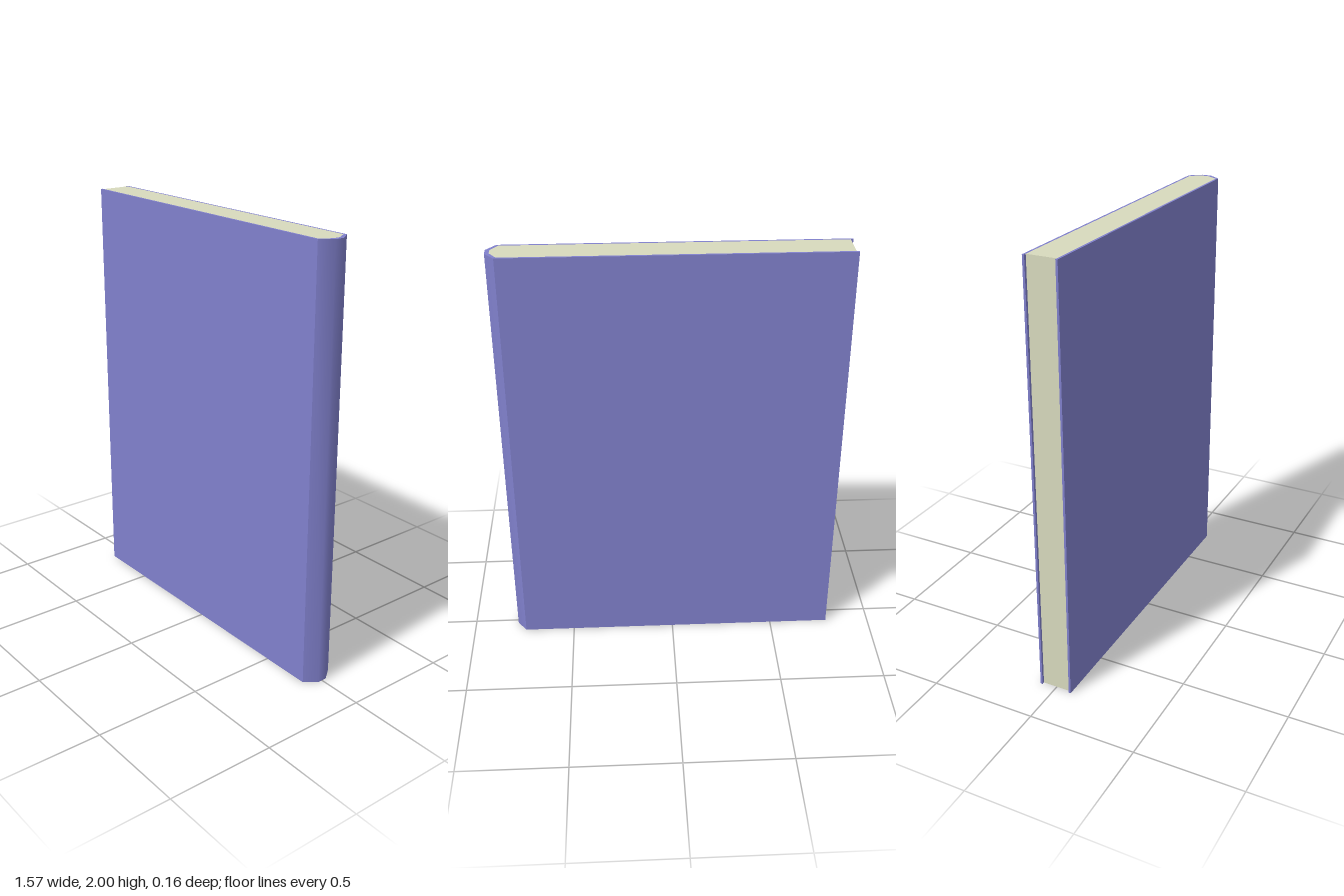
import * as THREE from 'three';
import { toCreasedNormals } from 'three/addons/utils/BufferGeometryUtils.js';

const HEIGHT = 2;

// Upright prism from a plan outline; smooth over the spine, sharp elsewhere
function prism(name, points, color) {
  const shape = new THREE.Shape(points.map(([x, z]) => new THREE.Vector2(x, z)));
  const geometry = new THREE.ExtrudeGeometry(shape, { depth: HEIGHT, bevelEnabled: false });
  geometry.rotateX(-Math.PI / 2);
  const material = new THREE.MeshStandardMaterial({ color });
  const mesh = new THREE.Mesh(toCreasedNormals(geometry, Math.PI / 4), material);
  mesh.name = name;
  return mesh;
}

// Adds the mirrored half of an outline, walking back to the start
const mirrored = (half) => [...half, ...half.map(([x, z]) => [x, -z]).reverse()];

export function createModel() {
  const book = new THREE.Group();
  book.name = 'book';

  // Half outlines run from the open edge to the middle of the spine
  const outer = [[-0.787, -0.078], [0.742, -0.078], [0.785, -0.022]];
  const inner = [[-0.787, -0.068], [0.733, -0.068], [0.766, -0.018]];
  const pages = [[-0.775, -0.068], ...inner.slice(1)];

  // Cover: both boards and the faceted spine in one wrap
  book.add(prism('cover', [...mirrored(outer), ...mirrored(inner).reverse()], 0x8080cc));

  // Page block, set back from the open edge of the boards
  book.add(prism('pages', mirrored(pages), 0xd8dabd));

  return book;
}
